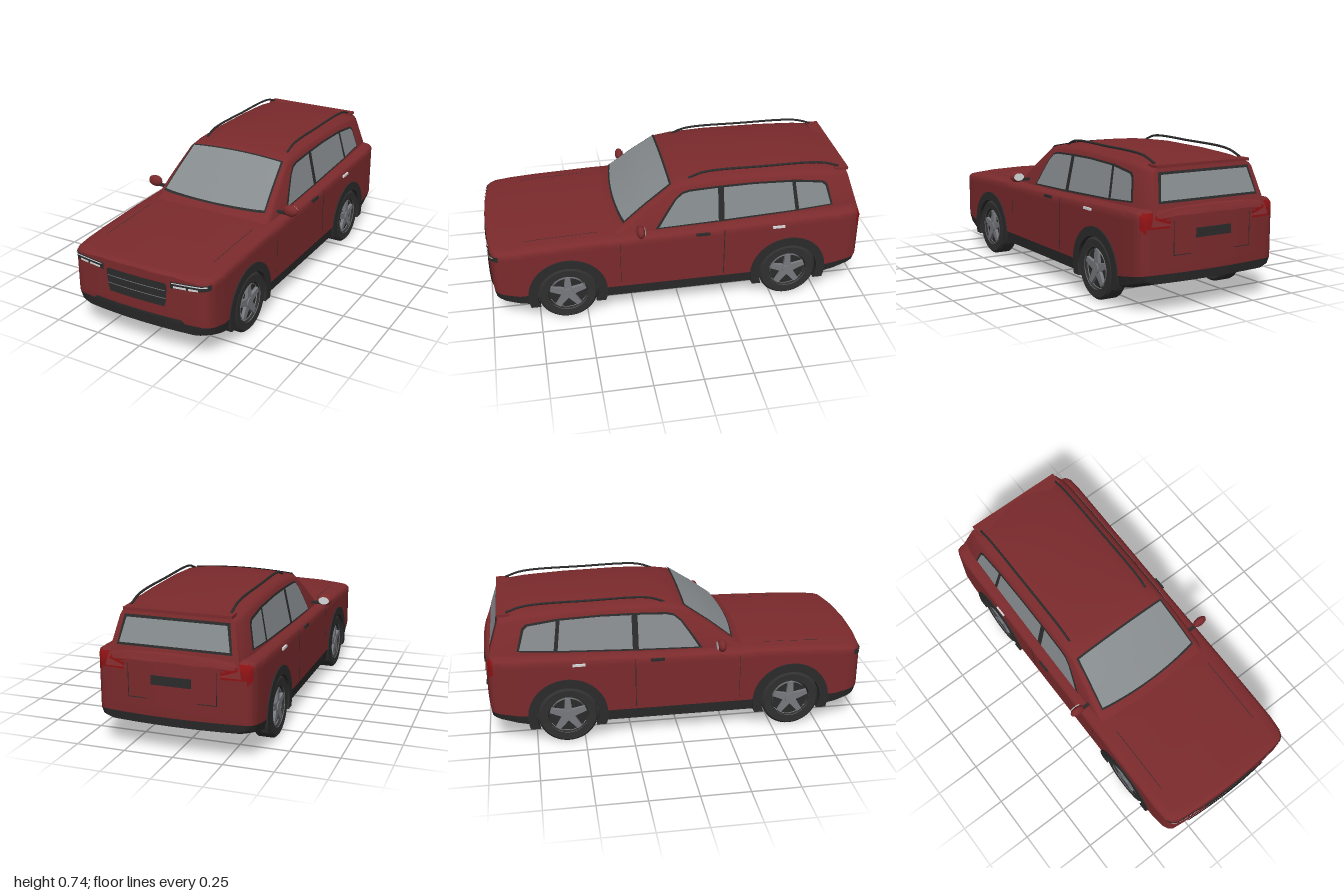
import * as THREE from 'three';
import { mergeVertices, toCreasedNormals } from 'three/addons/utils/BufferGeometryUtils.js';

const mat = (name, color, side = THREE.FrontSide) => {
  const m = new THREE.MeshStandardMaterial({ color, side });
  m.name = name;
  return m;
};
const clamp = (v) => Math.min(1, Math.max(0, v));
const mix = (a, b, t) => a + (b - a) * t;

// Piecewise linear lookup in a table of [z, value], z rising
function curve(table) {
  return (z) => {
    if (z <= table[0][0]) return table[0][1];
    for (let i = 1; i < table.length; i++) {
      const [z0, a] = table[i - 1], [z1, b] = table[i];
      if (z <= z1) return mix(a, b, (z - z0) / (z1 - z0));
    }
    return table[table.length - 1][1];
  };
}

// Body curves: half width, underside, shoulder, sill line, roof edge
const halfWidth = curve([[-1, 0.36], [-0.985, 0.38], [-0.95, 0.392], [-0.85, 0.397], [0.85, 0.397], [0.95, 0.39], [0.985, 0.375], [1, 0.355]]);
const under = curve([[-1, 0.15], [-0.75, 0.09], [0.8, 0.09], [0.9, 0.11], [1, 0.135]]);
const shoulder = curve([[-1, 0.455], [-0.985, 0.485], [-0.96, 0.495], [-0.8, 0.49], [0, 0.465], [0.4, 0.46], [0.7, 0.45], [0.95, 0.435], [0.985, 0.43], [1, 0.42]]);
const sill = curve([[-1, 0.195], [-0.8, 0.165], [0.85, 0.165], [1, 0.19]]);
const roof = curve([[-0.965, 0.675], [-0.8, 0.69], [-0.55, 0.703], [-0.25, 0.708], [-0.06, 0.7], [0.03, 0.685], [0.17, 0.588], [0.31, 0.478], [0.36, 0.455], [0.4, 0.445]]);
const cabinX = (y) => 0.345 - (y - 0.47) * 0.217;
const crown = (x) => 0.014 * (1 - clamp(Math.abs(x) / 0.28) ** 2);
const WHEELS = [0.6, -0.585], AXLE = 0.155;

// Rounds the nose and tail in plan and tucks their lower edge
const endShape = (x, y, z) => {
  const k = clamp((Math.abs(z) - 0.85) / 0.15);
  return z - Math.sign(z) * k * (0.025 * (x / 0.36) ** 2 + 0.02 * clamp((0.2 - y) / 0.1));
};
const noseZ = (x, y) => {
  let z = 1;
  while (halfWidth(z) < x && z > 0.85) z -= 0.002;
  return endShape(x, y, z);
};

function bodySection(z) {
  const w = halfWidth(z), b = under(z), s = shoulder(z), c = sill(z);
  const pts = [[0, b], [w - 0.05, b], [w - 0.01, b + 0.015]];
  for (let i = 0; i <= 9; i++) pts.push([w, mix(c, s - 0.02, i / 9)]);
  pts.push([w - 0.006, s - 0.012], [w - 0.02, s - 0.004], [w - 0.06, s], [0.2, s + 0.008], [0, s + 0.012]);
  return pts;
}
function cabinSection(z) {
  const r = roof(z), x = cabinX(r - 0.025), taper = 0.02 * clamp((-z - 0.88) / 0.085);
  const pts = [[0, 0.42], [cabinX(0.42), 0.42], [x, r - 0.025], [x - 0.012, r - 0.009], [x - 0.035, r]];
  for (const f of [0.75, 0.5, 0.25, 0]) pts.push([(x - 0.035) * f, r + crown((x - 0.035) * f)]);
  return pts.map(([px, py]) => [Math.max(0, px - (px > 0.2 ? taper : 0)), py]);
}
const cabinShape = (x, y, z) => z + clamp((-z - 0.7) / 0.265) * (y - 0.5) * 0.32;

// Skins half sections along z, mirrored and capped; pick() names each cell's material
function loft(stations, section, shapeZ, pick) {
  const bins = {};
  const quad = (key, a, b, c, d) => key && (bins[key] ??= []).push(...a, ...b, ...c, ...a, ...c, ...d);
  const mid = (a, c) => a.map((v, i) => (v + c[i]) / 2);
  const at = (x, y, z) => [x, y, shapeZ(x, y, z)];
  const flip = ([x, y, z]) => [-x, y, z];
  const rows = stations.map((z) => section(z).map(([x, y]) => at(x, y, z)));
  for (let j = 0; j + 1 < rows.length; j++) {
    for (let k = 0; k + 1 < rows[j].length; k++) {
      const a = rows[j][k], b = rows[j][k + 1], c = rows[j + 1][k + 1], d = rows[j + 1][k];
      const key = pick(mid(a, c), k);
      quad(key, a, b, c, d);
      quad(key, flip(d), flip(c), flip(b), flip(a));
    }
  }
  for (const z of [stations[0], stations[stations.length - 1]]) {
    const s = section(z), n = 24;
    for (let k = 0; k + 1 < s.length; k++) {
      for (let i = 0; i < n; i++) {
        const p = (kk, ii) => at(s[kk][0] * (ii / n * 2 - 1), s[kk][1], z);
        const q = [p(k, i), p(k, i + 1), p(k + 1, i + 1), p(k + 1, i)];
        if (z < 0) q.reverse();
        quad(pick(mid(q[0], q[2]), k), ...q);
      }
    }
  }
  return Object.entries(bins).map(([key, pos]) => {
    const g = new THREE.BufferGeometry();
    g.setAttribute('position', new THREE.Float32BufferAttribute(pos, 3));
    return [key, toCreasedNormals(mergeVertices(g, 1e-4), 0.7)];
  });
}

// Thin curved sheet from a rule over u, v in 0..1
function sheet(f, nu = 16, nv = 8) {
  const g = new THREE.PlaneGeometry(1, 1, nu, nv), p = g.attributes.position;
  for (let i = 0; i < p.count; i++) p.setXYZ(i, ...f(p.getX(i) + 0.5, p.getY(i) + 0.5));
  g.computeVertexNormals();
  return g;
}
// Sheet lying on the nose between x0..x1, with lower and upper edges as [at x0, at x1]
const nosePlate = (x0, x1, lo, hi, off) => sheet((u, v) => {
  const x = mix(x0, x1, u), y = mix(mix(lo[0], lo[1], u), mix(hi[0], hi[1], u), v);
  return [x, y, noseZ(Math.abs(x), y) + off];
});
// Flat pane on the cabin side from [z, y] corners
function sidePane(points, off) {
  const g = new THREE.ShapeGeometry(new THREE.Shape(points.map(([z, y]) => new THREE.Vector2(z, y))));
  const p = g.attributes.position;
  for (let i = 0; i < p.count; i++) p.setXYZ(i, cabinX(p.getY(i)) + off, p.getY(i), p.getX(i));
  g.computeVertexNormals();
  return g;
}

export function createModel() {
  const M = {
    paint: mat('red paint', 0x7b2a2c),
    trim: mat('dark trim', 0x2b2b2b, THREE.DoubleSide),
    tyre: mat('tyre rubber', 0x303030),
    glass: mat('grey glass', 0x868b8e, THREE.DoubleSide),
    alloy: mat('alloy grey', 0x77797e),
    lamp: mat('pale lamp', 0xd6d8da, THREE.DoubleSide),
    tail: mat('tail lamp red', 0x8e1214),
  };
  const car = new THREE.Group();
  car.name = 'car';
  const add = (parent, name, geo, m, x = 0, y = 0, z = 0) => {
    const mesh = new THREE.Mesh(geo, m);
    mesh.name = name;
    mesh.position.set(x, y, z);
    parent.add(mesh);
    return mesh;
  };
  const box = (w, h, d) => new THREE.BoxGeometry(w, h, d);

  // Lower body with open wheel arches, dark sills and tail lamps
  const zs = [-1, -0.985];
  for (let i = -39; i <= 39; i++) zs.push(i * 0.025);
  zs.push(0.985, 1);
  const bodyPick = ([x, y, z], k) => {
    if (k > 0 && Math.abs(x) > 0.3 && WHEELS.some((w) => Math.hypot(z - w, y - AXLE) < 0.18)) return null;
    if (k < 3) return 'trim';
    return z < -0.945 && y > 0.4 && y < 0.48 && Math.abs(x) > 0.25 ? 'tail' : 'paint';
  };
  const bodyNames = { paint: 'bodyShell', trim: 'lowerCladding', tail: 'tailLamps' };
  for (const [key, geo] of loft(zs, bodySection, endShape, bodyPick)) add(car, bodyNames[key], geo, M[key]);

  // Cabin and roof
  const cz = [-0.965, -0.94, -0.9, -0.8, -0.7, -0.55, -0.4, -0.25, -0.15, -0.06, -0.02, 0.03, 0.08, 0.17, 0.24, 0.31, 0.36, 0.4];
  for (const [, geo] of loft(cz, cabinSection, cabinShape, () => 'paint')) add(car, 'cabin', geo, M.paint);
  add(car, 'spoiler', box(0.54, 0.014, 0.07), M.paint, 0, 0.682, -0.885);

  // Windscreen and rear window, each on a dark surround
  const screen = (e, off) => sheet((u, v) => {
    const s = u * 2 - 1, x = s * (mix(0.3, 0.268, v) + e);
    const z = mix(0.305 + e - 0.025 * s * s, 0.04 - e, v);
    return [x, roof(z) + crown(x) + off, z + off * 0.5];
  });
  const rearPane = (e, off) => sheet((u, v) => {
    const y = mix(0.53 - e, 0.645 + e, v);
    return [(u * 2 - 1) * (mix(0.275, 0.25, v) + e), y, -0.965 + (y - 0.5) * 0.32 - off];
  });
  add(car, 'windscreenSurround', screen(0.009, 0.004), M.trim);
  add(car, 'windscreen', screen(0, 0.007), M.glass);
  add(car, 'rearWindowSurround', rearPane(0.012, 0.003), M.trim);
  add(car, 'rearWindow', rearPane(0, 0.006), M.glass);

  // Grille, its bars and the lower intake
  add(car, 'grille', sheet((u, v) => {
    const y = mix(0.265, 0.388, v), x = (u * 2 - 1) * (v < 0.1 || v > 0.95 ? 0.158 : mix(0.162, 0.174, v));
    return [x, y, noseZ(Math.abs(x), y) + 0.004];
  }, 16, 12), M.trim);
  for (const y of [0.308, 0.349]) add(car, 'grilleBar', nosePlate(-0.165, 0.165, [y, y], [y + 0.004, y + 0.004], 0.007), M.alloy);
  add(car, 'lowerIntake', sheet((u, v) => {
    const y = mix(0.148, 0.212, v), x = (u * 2 - 1) * (0.262 - 0.02 * Math.abs(v * 2 - 1) ** 4);
    return [x, y, noseZ(Math.abs(x), y) + 0.005];
  }), M.trim);

  // Tailgate plate recess and seams
  add(car, 'plateRecess', box(0.2, 0.045, 0.008), M.trim, 0, 0.375, -1);
  add(car, 'tailgateSeam', box(0.44, 0.003, 0.004), M.trim, 0, 0.28, -0.995);

  // Shared wheel geometry, axis along x
  const V = (x, y) => new THREE.Vector2(x, y);
  const tyreGeo = toCreasedNormals(new THREE.LatheGeometry([V(0.1, -0.03), V(0.105, -0.046), V(0.143, -0.048), V(0.155, -0.036),
    V(0.155, 0.036), V(0.143, 0.048), V(0.105, 0.046), V(0.1, 0.03)], 48), 0.6).rotateZ(-Math.PI / 2);
  const rimGeo = new THREE.LatheGeometry([V(0.092, 0.015), V(0.094, 0.044), V(0.104, 0.046), V(0.104, 0.02)], 40).rotateZ(-Math.PI / 2);
  const discGeo = new THREE.CylinderGeometry(0.1, 0.1, 0.05, 32).rotateZ(-Math.PI / 2);
  const spokeShape = new THREE.Shape([V(-0.022, 0.01), V(0.022, 0.01), V(0.013, 0.096), V(-0.013, 0.096)]);
  const spokeGeo = new THREE.ExtrudeGeometry(spokeShape, { depth: 0.02, bevelEnabled: false }).rotateY(Math.PI / 2);
  const hubGeo = new THREE.CylinderGeometry(0.026, 0.03, 0.03, 20).rotateZ(-Math.PI / 2);

  // Dark arch flare and inner wheel well
  const flareShape = new THREE.Shape();
  flareShape.absarc(0, 0, 0.207, -0.32, Math.PI + 0.32, false);
  flareShape.absarc(0, 0, 0.16, Math.PI + 0.42, -0.42, true);
  const flareGeo = new THREE.ExtrudeGeometry(flareShape, { depth: 0.035, bevelEnabled: false, curveSegments: 32 }).rotateY(Math.PI / 2);
  const wellGeo = new THREE.CylinderGeometry(0.18, 0.18, 0.14, 24, 1, true, 0, Math.PI).rotateZ(Math.PI / 2);

  const panes = [
    [[0.108, 0.476], [0.06, 0.55], [0.015, 0.615], [-0.02, 0.645], [-0.06, 0.654], [-0.207, 0.66], [-0.207, 0.485]],
    [[-0.238, 0.487], [-0.238, 0.66], [-0.4, 0.662], [-0.603, 0.655], [-0.622, 0.502]],
    [[-0.642, 0.504], [-0.622, 0.653], [-0.765, 0.636], [-0.785, 0.62], [-0.815, 0.516]],
  ];
  const surround = [[0.128, 0.468], [0.065, 0.56], [0.02, 0.622], [-0.018, 0.654], [-0.06, 0.664], [-0.24, 0.67], [-0.4, 0.671],
    [-0.62, 0.664], [-0.775, 0.645], [-0.797, 0.625], [-0.828, 0.509], [-0.62, 0.493], [-0.22, 0.476]];

  // Everything that exists once per side, built on +x and mirrored
  const buildSide = (name, sign) => {
    const side = new THREE.Group();
    side.name = name;
    side.scale.x = sign;
    car.add(side);

    add(side, 'windowSurround', sidePane(surround, 0.003), M.trim);
    for (const p of panes) add(side, 'sideWindow', sidePane(p, 0.006), M.glass);

    for (const z of WHEELS) {
      add(side, 'archFlare', flareGeo, M.trim, 0.368, AXLE, z);
      add(side, 'wheelWell', wellGeo, M.trim, 0.315, AXLE, z);
      const wheel = new THREE.Group();
      wheel.name = 'wheel';
      wheel.position.set(0.35, AXLE, z);
      side.add(wheel);
      add(wheel, 'tyre', tyreGeo, M.tyre);
      add(wheel, 'rim', rimGeo, M.lamp).material = M.alloy;
      add(wheel, 'wheelBacking', discGeo, M.trim);
      add(wheel, 'hub', hubGeo, M.alloy, 0.032);
      for (let i = 0; i < 5; i++) add(wheel, 'spoke', spokeGeo, M.alloy, 0.022).rotation.x = i * Math.PI * 0.4;
    }

    // Headlamp housing and light strips
    add(side, 'headlamp', nosePlate(0.19, 0.385, [0.37, 0.385], [0.404, 0.414], 0.004), M.trim);
    add(side, 'lampStrip', nosePlate(0.2, 0.375, [0.397, 0.403], [0.402, 0.41], 0.008), M.lamp);
    add(side, 'lampBlock', nosePlate(0.21, 0.275, [0.376, 0.379], [0.387, 0.39], 0.008), M.lamp);
    add(side, 'lampBlock', nosePlate(0.285, 0.335, [0.378, 0.382], [0.39, 0.392], 0.008), M.lamp);

    // Door mirror
    add(side, 'mirrorShell', new THREE.SphereGeometry(1, 24, 16), M.paint, 0.415, 0.505, 0.215).scale.set(0.041, 0.031, 0.022);
    add(side, 'mirrorStalk', box(0.06, 0.014, 0.016), M.trim, 0.365, 0.487, 0.215);
    add(side, 'mirrorGlass', new THREE.CircleGeometry(1, 24), M.lamp, 0.415, 0.505, 0.192).scale.set(0.03, 0.021, 1);

    // Roof rail
    const rail = new THREE.CatmullRomCurve3([[0.7, -0.06], [0.727, -0.14], [0.73, -0.45], [0.72, -0.78], [0.692, -0.87]]
      .map(([y, z]) => new THREE.Vector3(0.25, y, z)));
    add(side, 'roofRail', new THREE.TubeGeometry(rail, 32, 0.006, 8), M.trim);

    // Door handles and panel seams
    add(side, 'frontHandle', box(0.012, 0.014, 0.07), M.trim, 0.4, 0.442, -0.115);
    add(side, 'rearHandle', box(0.012, 0.012, 0.065), M.lamp, 0.4, 0.441, -0.52);
    add(side, 'doorSeam', box(0.004, 0.27, 0.004), M.trim, 0.396, 0.315, -0.23);
    add(side, 'fenderSeam', box(0.004, 0.24, 0.002), M.trim, 0.3955, 0.31, 0.32);
    add(side, 'bonnetSeam', sheet((u, v) => {
      const z = mix(0.42, 0.8, v);
      return [0.31 + u * 0.003, shoulder(z) + 0.004, z];
    }, 1, 8), M.trim);
    add(side, 'tailgateSeam', box(0.003, 0.16, 0.004), M.trim, 0.22, 0.36, -0.99);
  };
  buildSide('leftSide', 1);
  buildSide('rightSide', -1);
  return car;
}
